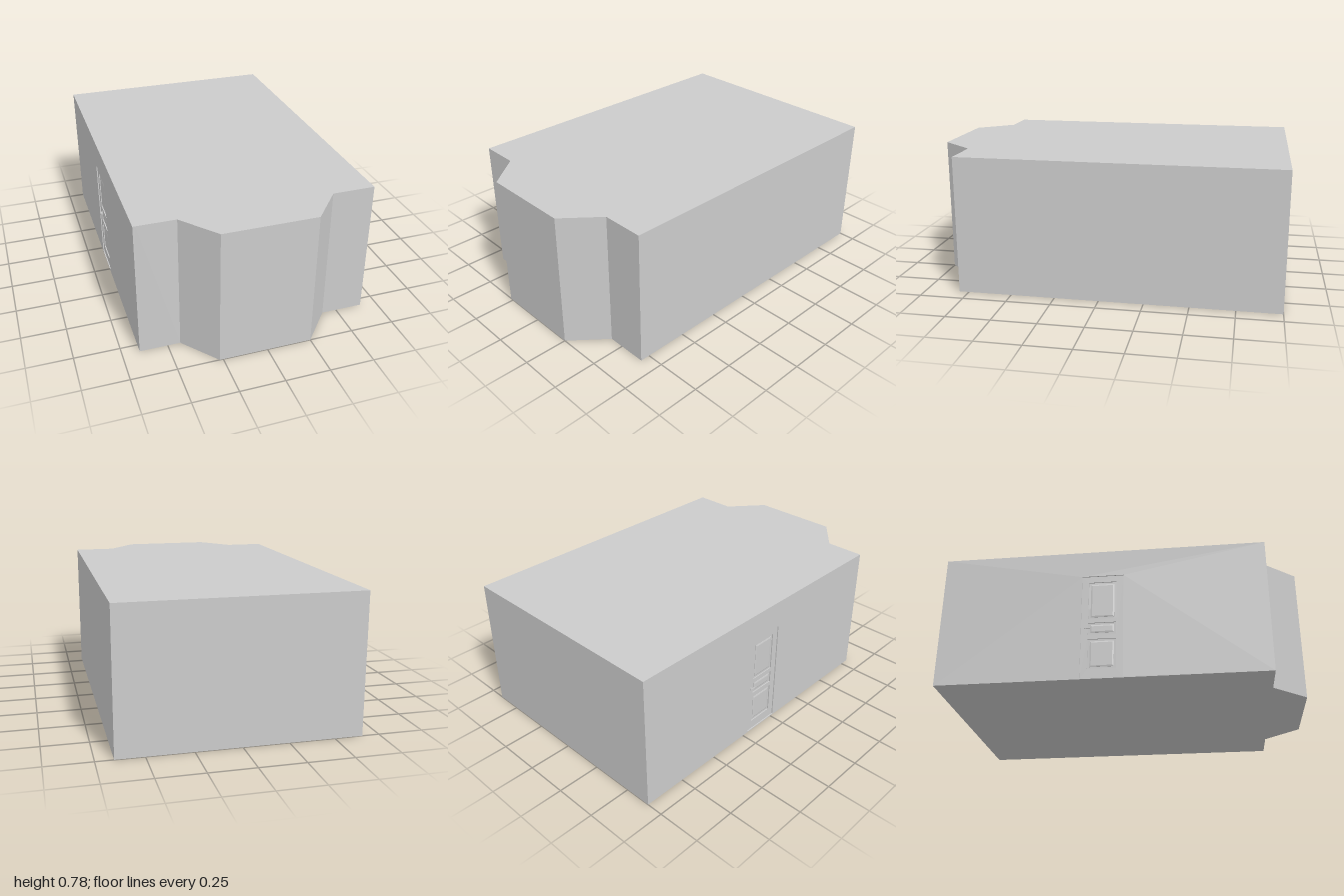
import * as THREE from 'three';

const H = 0.78, LEFT = -0.655, RECESS = 0.012;
const wallBack = LEFT + RECESS;
const mat = new THREE.MeshStandardMaterial({ color: 0xcccccc, flatShading: true });

function mesh(name, geo) {
  const m = new THREE.Mesh(geo, mat);
  m.name = name;
  return m;
}

const shapeOf = pts => new THREE.Shape(pts.map(p => new THREE.Vector2(...p)));
const rect = ([a, b, c, d]) => [[a, b], [c, b], [c, d], [a, d]];

// Extrudes a (z, y) outline outwards (towards -x) from the plane x = from
function sideExtrude(outline, holes, from, depth, bevel = 0) {
  const shape = shapeOf(outline);
  holes.forEach(h => shape.holes.push(shapeOf(h)));
  return new THREE.ExtrudeGeometry(shape, {
    depth, bevelEnabled: bevel > 0, bevelSize: bevel, bevelOffset: -bevel,
    bevelThickness: depth, bevelSegments: 1,
  }).rotateY(-Math.PI / 2).translate(from, 0, 0);
}

export function createModel() {
  const model = new THREE.Group();
  model.name = 'building';

  // Main block with the angled bay at the front
  const footprint = shapeOf([
    [wallBack, -1], [0.655, -1], [0.655, 0.805], [0.415, 0.805],
    [0.25, 1], [-0.27, 1], [-0.43, 0.805], [wallBack, 0.805],
  ]);
  model.add(mesh('mainBlock', new THREE.ExtrudeGeometry(footprint, { depth: H, bevelEnabled: false })
    .rotateX(Math.PI / 2).translate(0, H, 0)));

  // Side wall with the door opening
  const opening = [-0.21, 0.006, 0.02, 0.622];
  model.add(mesh('doorWall', sideExtrude(rect([-1, 0, 0.805, H]), [rect(opening)], wallBack, RECESS)));

  // Door leaf with three sunken fields, each holding a raised bevelled panel
  const door = new THREE.Group();
  door.name = 'door';
  const fields = [[0.06, 0.235], [0.262, 0.333], [0.357, 0.585]]
    .map(([y0, y1]) => [-0.172, y0, -0.018, y1]);
  door.add(mesh('doorLeaf', sideExtrude(rect(opening), fields.map(rect), wallBack, 0.006)));
  fields.forEach(([a, b, c, d]) => {
    const g = 0.012;
    door.add(mesh('doorPanel', sideExtrude(rect([a + g, b + g, c - g, d - g]), [], wallBack, 0.002, 0.008)));
  });

  // Handle: back plate, spindle and lever
  const handle = new THREE.Group();
  handle.name = 'doorHandle';
  const face = wallBack - 0.006;
  handle.add(mesh('handlePlate', new THREE.BoxGeometry(0.002, 0.018, 0.012).translate(face - 0.001, 0.3, -0.19)));
  handle.add(mesh('handleSpindle', new THREE.CylinderGeometry(0.003, 0.003, 0.007, 10)
    .rotateZ(Math.PI / 2).translate(face - 0.0035, 0.3, -0.19)));
  handle.add(mesh('handleLever', new THREE.BoxGeometry(0.003, 0.005, 0.034).translate(face - 0.0075, 0.3, -0.177)));
  door.add(handle);
  model.add(door);

  return model;
}
